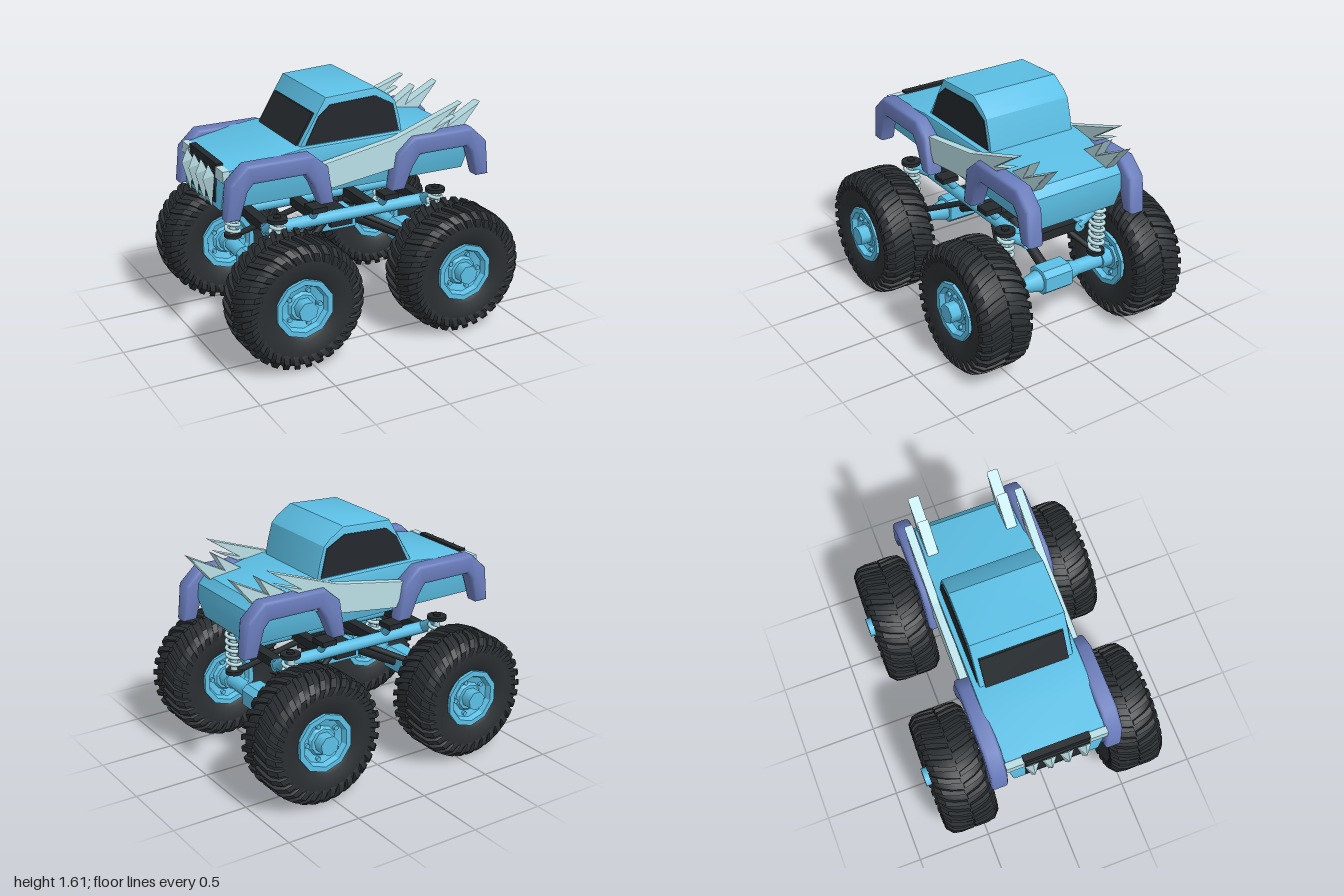
import * as THREE from 'three';
import { mergeGeometries, toCreasedNormals } from 'three/addons/utils/BufferGeometryUtils.js';
import { ConvexGeometry } from 'three/addons/geometries/ConvexGeometry.js';

const mat = (color) => new THREE.MeshStandardMaterial({ color });
const blue = mat(0x5cc0e6), violet = mat(0x6a7dbd), pale = mat(0xb9dfe6), dark = mat(0x24292d), tyreMat = mat(0x2b2f32);
const V = (x, y, z) => new THREE.Vector3(x, y, z);

function add(parent, name, geometry, material, x = 0, y = 0, z = 0) {
  const mesh = new THREE.Mesh(geometry, material);
  mesh.name = name;
  mesh.position.set(x, y, z);
  parent.add(mesh);
  return mesh;
}

// Side outline extruded along z, centred, with the bevel kept inside the size
function slab(points, width, bevel = 0) {
  const shape = new THREE.Shape(points.map(([x, y]) => new THREE.Vector2(x, y)));
  const geo = new THREE.ExtrudeGeometry(shape, {
    depth: width - 2 * bevel, bevelEnabled: bevel > 0, bevelSize: bevel,
    bevelThickness: bevel, bevelOffset: -bevel, bevelSegments: 2,
  });
  return geo.translate(0, 0, bevel - width / 2);
}

// Round bar between two points
function bar(parent, name, a, b, r, material, r2 = r, sides = 10) {
  const dir = b.clone().sub(a);
  const mesh = add(parent, name, new THREE.CylinderGeometry(r2, r, dir.length(), sides), material);
  mesh.position.copy(a).add(b).multiplyScalar(0.5);
  mesh.quaternion.setFromUnitVectors(V(0, 1, 0), dir.normalize());
}

// Surface of revolution about z from half a profile of [radius, z], mirrored
function ring(half, sides, crease) {
  const pts = [...half, ...half.slice().reverse().map(([r, z]) => [r, -z])];
  const geo = new THREE.LatheGeometry(pts.map(([r, z]) => new THREE.Vector2(r, z)), sides);
  return toCreasedNormals(geo.rotateX(Math.PI / 2), crease);
}

// One tread lug, bent over the shoulder of the tyre
function lug(angle, side) {
  const path = [[0.424, 0.004], [0.425, 0.09], [0.415, 0.145], [0.372, 0.184], [0.325, 0.182]];
  const geo = new THREE.BoxGeometry(1, 1, 1, 1, 1, 4);
  const p = geo.attributes.position;
  for (let i = 0; i < p.count; i++) {
    const t = 0.5 + side * p.getZ(i);
    const [r0, z0] = path[Math.round(t * 4)];
    const inner = p.getY(i) < 0;
    const r = r0 - (inner ? 0.045 : 0);
    const a = angle + 0.24 * t + p.getX(i) * (0.07 + 0.05 * t);
    p.setXYZ(i, Math.sin(a) * r, Math.cos(a) * r, side * z0 * (inner ? 0.88 : 1));
  }
  return toCreasedNormals(geo, 0.5);
}

function treadGeometry() {
  const lugs = [], n = 32;
  for (let i = 0; i < n; i++) {
    lugs.push(lug((i / n) * Math.PI * 2, 1), lug(((i + 0.5) / n) * Math.PI * 2, -1));
  }
  return mergeGeometries(lugs);
}

class Helix extends THREE.Curve {
  getPoint(t, target = V(0, 0, 0)) {
    const a = t * Math.PI * 2 * 6.5;
    return target.set(Math.cos(a) * 0.046, t * 0.31 - 0.155, Math.sin(a) * 0.046);
  }
}

export function createModel() {
  const model = new THREE.Group();
  model.name = 'monsterTruck';

  // Main body, tucked in toward the sills and narrower at the bonnet
  const bodyGeo = slab([[-0.92, 0.97], [0.81, 0.97], [0.84, 1.09], [0.83, 1.19], [0.78, 1.245],
    [0.34, 1.305], [-0.4, 1.305], [-0.58, 1.285], [-0.87, 1.235], [-0.905, 1.19]], 0.7, 0.012);
  const p = bodyGeo.attributes.position;
  for (let i = 0; i < p.count; i++) {
    const tuck = 1 - 0.12 * THREE.MathUtils.clamp((1.19 - p.getY(i)) / 0.22, 0, 1);
    p.setZ(i, p.getZ(i) * tuck * (p.getX(i) < -0.6 ? 0.94 : 1));
  }
  bodyGeo.computeVertexNormals();
  add(model, 'body', toCreasedNormals(bodyGeo, 0.6), blue);

  // Cabin and windows
  add(model, 'cabin', toCreasedNormals(slab([[-0.4, 1.28], [0.345, 1.28], [0.325, 1.39], [0.29, 1.51],
    [0.25, 1.55], [0.145, 1.617], [-0.21, 1.6]], 0.622, 0.012), 0.5), blue);
  const sideWindow = [[-0.35, 1.31], [0.315, 1.31], [0.27, 1.495], [0.14, 1.565], [-0.18, 1.55], [-0.26, 1.485]];
  for (const s of [-1, 1]) add(model, 'sideWindow', slab(sideWindow, 0.012), dark, 0, 0, s * 0.31);
  add(model, 'windscreen', slab([[-0.4, 1.305], [-0.36, 1.305], [-0.255, 1.495], [-0.285, 1.5]], 0.55), dark);

  // Wheel arches
  const arch = [[-0.364, -0.055], [-0.275, -0.055], [-0.222, 0.12], [-0.185, 0.162], [0.165, 0.162], [0.215, 0.09],
    [0.275, -0.055], [0.364, -0.055], [0.325, 0.19], [0.215, 0.287], [-0.225, 0.287], [-0.34, 0.18]];
  const archGeo = toCreasedNormals(slab(arch, 0.115, 0.022), 0.9);
  for (const s of [-1, 1]) {
    add(model, 'frontWheelArch', archGeo, violet, -0.574, 1, s * 0.383);
    add(model, 'rearWheelArch', archGeo, violet, 0.574, 1, s * 0.383).rotation.y = Math.PI;
  }

  // Swept side blades and the pairs of tail spikes
  const blade = [[-0.29, 1.195], [-0.21, 1.03], [0.25, 1.09], [0.6, 1.2], [0.45, 1.24], [0.69, 1.37],
    [0.52, 1.31], [0.733, 1.457], [0.24, 1.285]];
  const spikes = [[0.5, 1.23], [0.78, 1.22], [0.936, 1.41], [0.69, 1.28], [0.76, 1.4]];
  for (const s of [-1, 1]) {
    add(model, 'sideBlade', slab(blade, 0.055, 0.006), pale, 0, 0, s * 0.372);
    add(model, 'tailSpikes', slab(spikes, 0.075, 0.008), pale, 0, 0, s * 0.27);
  }

  // Nose: grille bar, headlights and fangs
  add(model, 'grilleBar', new THREE.BoxGeometry(0.045, 0.055, 0.44), dark, -0.888, 1.225, 0);
  add(model, 'grille', new THREE.BoxGeometry(0.02, 0.2, 0.42), dark, -0.914, 1.1, 0);
  for (const s of [-1, 1]) {
    add(model, 'headlight', new THREE.BoxGeometry(0.045, 0.075, 0.12), pale, -0.895, 1.2, s * 0.275);
  }
  const fang = new ConvexGeometry([V(-0.93, 0.95, 0), V(-0.985, 1.15, 0), V(-0.945, 1.245, 0),
    V(-0.925, 1.18, 0.047), V(-0.925, 1.18, -0.047)]);
  for (let i = 0; i < 4; i++) add(model, 'fang', fang, pale, 0, 0, -0.172 + i * 0.115);

  // Chassis
  const chassis = new THREE.Group();
  chassis.name = 'chassis';
  model.add(chassis);
  add(chassis, 'transferCase', new THREE.BoxGeometry(0.25, 0.11, 0.19), blue, 0, 0.66, 0);
  add(chassis, 'casePlate', new THREE.BoxGeometry(0.16, 0.08, 0.27), dark, 0, 0.68, 0);
  for (const s of [-1, 1]) {
    bar(chassis, 'frameRail', V(-0.6, 0.75, s * 0.2), V(0.6, 0.75, s * 0.2), 0.042, blue);
    for (const e of [-1, 1]) {
      bar(chassis, 'bodyMountPost', V(e * 0.255, 0.77, s * 0.2), V(e * 0.255, 0.85, s * 0.27), 0.025, blue);
      add(chassis, 'bodyMountPad', new THREE.BoxGeometry(0.105, 0.035, 0.12), dark, e * 0.26, 0.865, s * 0.27);
    }
  }
  for (const x of [-0.56, -0.2, 0.2, 0.56]) {
    add(chassis, 'crossMember', new THREE.BoxGeometry(0.07, 0.06, 0.36), dark, x, 0.755, 0);
  }

  // Axles, drive shafts, links and coil-over shocks
  const coil = new THREE.TubeGeometry(new Helix(), 130, 0.013, 6);
  for (const e of [-1, 1]) {
    const x = e * 0.573;
    bar(chassis, 'axle', V(x, 0.43, -0.5), V(x, 0.43, 0.5), 0.05, blue);
    add(chassis, 'differential', slab([[-0.09, -0.05], [-0.05, -0.085], [0.05, -0.085], [0.09, -0.05],
      [0.09, 0.05], [0.05, 0.085], [-0.05, 0.085], [-0.09, 0.05]], 0.215, 0.01), blue, x, 0.435, 0);
    bar(chassis, 'driveShaft', V(e * 0.5, 0.45, 0), V(e * 0.08, 0.67, 0), 0.035, dark);
    for (const s of [-1, 1]) {
      bar(chassis, 'axleCone', V(x, 0.43, s * 0.1), V(x, 0.43, s * 0.2), 0.075, blue, 0.05);
      bar(chassis, 'trailingLink', V(x, 0.49, s * 0.36), V(e * 0.15, 0.7, s * 0.17), 0.02, dark);
      bar(chassis, 'shockTower', V(x, 0.75, s * 0.2), V(x, 0.85, s * 0.36), 0.038, blue, 0.03);
      add(chassis, 'shockCap', new THREE.CylinderGeometry(0.065, 0.065, 0.025, 12), dark, x, 0.875, s * 0.36);
      add(chassis, 'shockCapBolt', new THREE.CylinderGeometry(0.025, 0.025, 0.02, 8), dark, x, 0.89, s * 0.36);
      bar(chassis, 'shockBody', V(x, 0.48, s * 0.355), V(x, 0.87, s * 0.36), 0.024, pale);
      add(chassis, 'springPerch', new THREE.CylinderGeometry(0.06, 0.06, 0.025, 12), dark, x, 0.505, s * 0.355);
      add(chassis, 'coilSpring', coil, pale, x, 0.685, s * 0.357);
    }
  }

  // Wheels
  const tyre = ring([[0.185, -0.14], [0.22, -0.165], [0.32, -0.177], [0.37, -0.163], [0.397, -0.125], [0.404, -0.04]], 40, 0.7);
  const rim = ring([[0, -0.135], [0.085, -0.135], [0.1, -0.115], [0.145, -0.13], [0.16, -0.165], [0.195, -0.165]], 10, 0.3);
  const tread = treadGeometry();
  const nut = new THREE.CylinderGeometry(0.066, 0.066, 0.42, 7).rotateX(Math.PI / 2);
  const bolt = new THREE.CylinderGeometry(0.016, 0.016, 0.28, 6).rotateX(Math.PI / 2);
  for (const x of [-0.575, 0.573]) for (const s of [-1, 1]) {
    const wheel = new THREE.Group();
    wheel.name = (x < 0 ? 'front' : 'rear') + 'Wheel';
    wheel.position.set(x, 0.43, s * 0.588);
    model.add(wheel);
    add(wheel, 'tyre', tyre, tyreMat);
    add(wheel, 'tread', tread, tyreMat);
    add(wheel, 'rim', rim, blue);
    add(wheel, 'hubNut', nut, blue);
    for (let i = 0; i < 5; i++) {
      const a = (i / 5) * Math.PI * 2;
      add(wheel, 'wheelBolt', bolt, blue, Math.cos(a) * 0.115, Math.sin(a) * 0.115, 0);
    }
  }
  return model;
}
